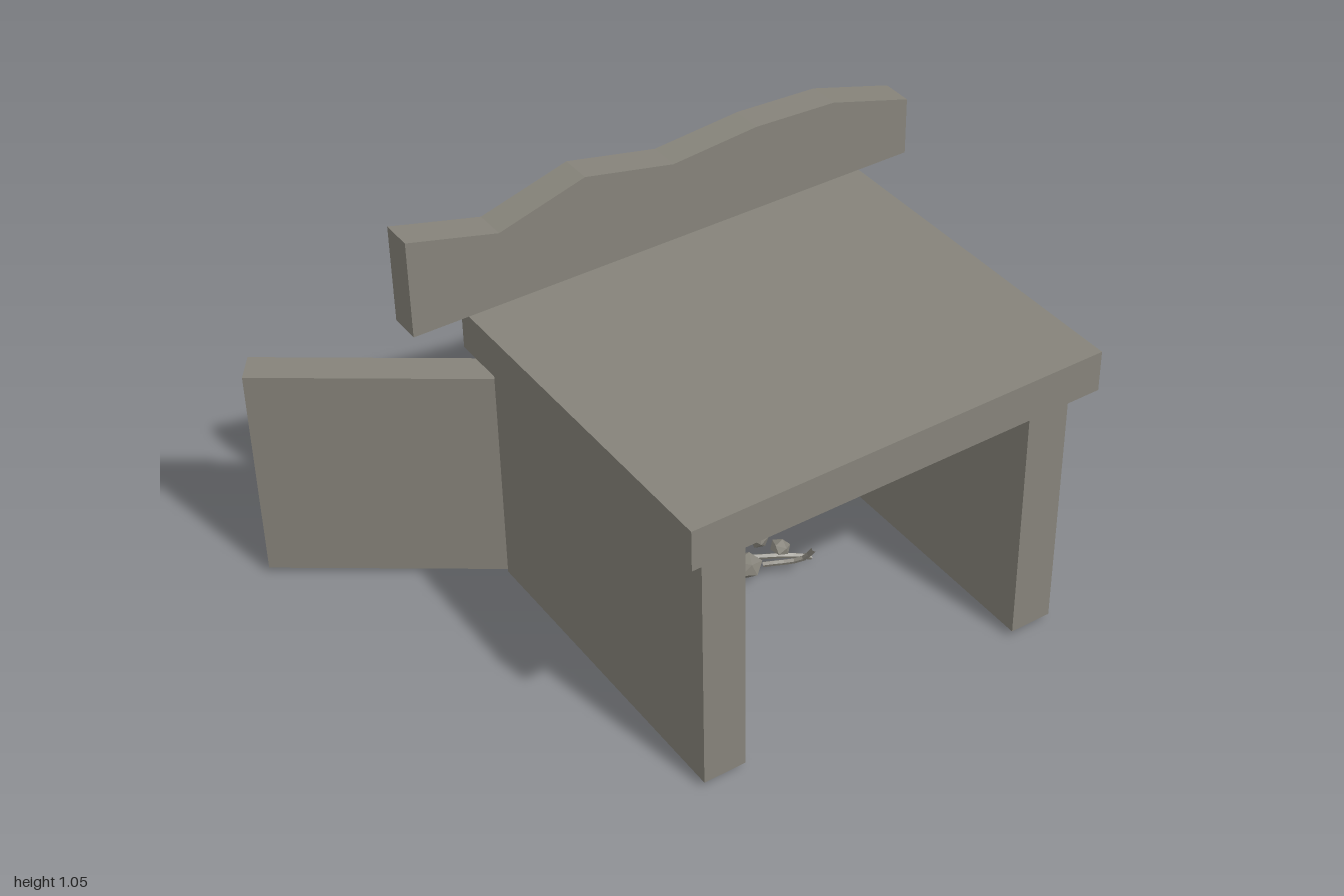
import * as THREE from 'three';

export function createModel() {
  const root = new THREE.Group();
  root.name = 'ruinedShelter';
  const stone = new THREE.MeshStandardMaterial({ color: 0x86837a, flatShading: true });
  stone.name = 'weatheredStone';

  const add = (name, geometry, parent = root) => {
    const mesh = new THREE.Mesh(geometry, stone);
    mesh.name = name;
    parent.add(mesh);
    return mesh;
  };
  // Box given by its minimum and maximum corners
  const block = (name, a, b) => {
    const mesh = add(name, new THREE.BoxGeometry(b[0] - a[0], b[1] - a[1], b[2] - a[2]));
    mesh.position.set((a[0] + b[0]) / 2, (a[1] + b[1]) / 2, (a[2] + b[2]) / 2);
    return mesh;
  };
  // Slab with a flat base and a broken top edge
  const brokenSlab = (name, base, top, depth) => {
    const shape = new THREE.Shape();
    shape.moveTo(top[0][0], base);
    shape.lineTo(top[top.length - 1][0], base);
    [...top].reverse().forEach(([x, y]) => shape.lineTo(x, y));
    return add(name, new THREE.ExtrudeGeometry(shape, { depth, bevelEnabled: false }));
  };

  // Main chamber
  block('rightWall', [-0.53, 0.02, -0.245], [-0.42, 0.69, 0.61]);
  block('leftWall', [0.34, 0.02, -0.245], [0.45, 0.69, 0.61]);
  block('roofSlab', [-0.58, 0.69, -0.285], [0.5, 0.795, 0.65]);

  // Jagged parapet on the rear edge of the roof
  brokenSlab('parapet', 0.795, [[-0.72, 1.045], [-0.49, 0.985], [-0.265, 1.05], [-0.03, 1.0],
    [0.2, 1.02], [0.42, 1.01], [0.64, 0.945]], 0.08).position.z = -0.33;

  // Intact splayed wing wall
  const wing = add('rightWingWall', new THREE.BoxGeometry(0.585, 0.575, 0.08));
  wing.position.set(-0.7375, 0.3075, -0.45);
  wing.rotation.y = -0.609;

  // Collapsed splayed wing wall
  const heights = [0.383, 0.36, 0.32, 0.336, 0.275, 0.285, 0.23];
  const broken = brokenSlab('brokenLeftWingWall', 0.02, heights.map((y, i) => [i * 0.483 / 6, y]), 0.075);
  broken.position.set(0.455, 0, -0.24);
  broken.rotation.y = 0.63;

  // Rubble: position, radii, turn
  const rocks = (name, list) => {
    const group = new THREE.Group();
    group.name = name;
    root.add(group);
    list.forEach(([x, y, z, rx, ry, rz, turn], i) => {
      const geometry = new THREE.IcosahedronGeometry(1, 0);
      geometry.rotateX(0.5 + i).rotateY(turn).scale(rx, ry, rz);
      add('rock', geometry, group).position.set(x, y, z);
    });
    return group;
  };
  const chunk = (group, p, size, r) => {
    const mesh = add('chunk', new THREE.BoxGeometry(...size), group);
    mesh.position.set(...p);
    mesh.rotation.set(...r);
  };
  const rod = (group, ...points) => {
    const curve = new THREE.CatmullRomCurve3(points.map(p => new THREE.Vector3(...p)));
    add('bentBar', new THREE.TubeGeometry(curve, 6, 0.007, 5), group);
  };

  const outer = rocks('outerRubble', [
    [0.77, 0.065, -0.275, 0.06, 0.052, 0.06, 0.3],
    [0.8, 0.07, -0.07, 0.066, 0.055, 0.068, 1.1],
    [0.59, 0.07, 0.075, 0.065, 0.055, 0.068, 2.0],
    [0.755, 0.095, 0.075, 0.055, 0.078, 0.055, 0.8],
    [0.665, 0.06, -0.148, 0.034, 0.03, 0.028, 0.4],
    [0.73, 0.055, -0.145, 0.02, 0.024, 0.022, 1.6],
    [0.72, 0.04, 0.163, 0.022, 0.02, 0.022, 2.4],
    [0.595, 0.065, -0.235, 0.045, 0.045, 0.035, 0.9],
    [0.545, 0.04, -0.2, 0.022, 0.024, 0.02, 0.1],
    [0.63, 0.04, 0.02, 0.032, 0.022, 0.03, 1.9],
  ]);
  chunk(outer, [0.535, 0.06, -0.12], [0.09, 0.07, 0.1], [0.15, 0.25, 0.35]);
  chunk(outer, [0.975, 0.03, -0.03], [0.028, 0.018, 0.026], [0, 0.2, 0]);
  rod(outer, [0.5, 0.035, -0.01], [0.55, 0.04, -0.04], [0.6, 0.035, -0.065]);
  rod(outer, [0.67, 0.09, 0.012], [0.71, 0.055, -0.02], [0.745, 0.035, -0.055]);

  const inner = rocks('innerRubble', [
    [-0.125, 0.08, 0.04, 0.068, 0.06, 0.065, 0.5],
    [-0.175, 0.055, 0.06, 0.025, 0.027, 0.028, 1.2],
    [-0.06, 0.05, 0.09, 0.04, 0.032, 0.038, 2.2],
    [0.01, 0.07, 0.04, 0.026, 0.032, 0.024, 0.7],
    [0.045, 0.05, 0.08, 0.025, 0.02, 0.028, 1.8],
  ]);
  chunk(inner, [-0.09, 0.05, -0.01], [0.07, 0.045, 0.06], [0.2, 0.5, 0.1]);
  rod(inner, [-0.02, 0.04, 0.1], [0.06, 0.055, 0.15], [0.073, 0.1, 0.18]);
  rod(inner, [-0.02, 0.035, 0.06], [0.06, 0.03, 0.1], [0.11, 0.015, 0.12]);
  return root;
}
